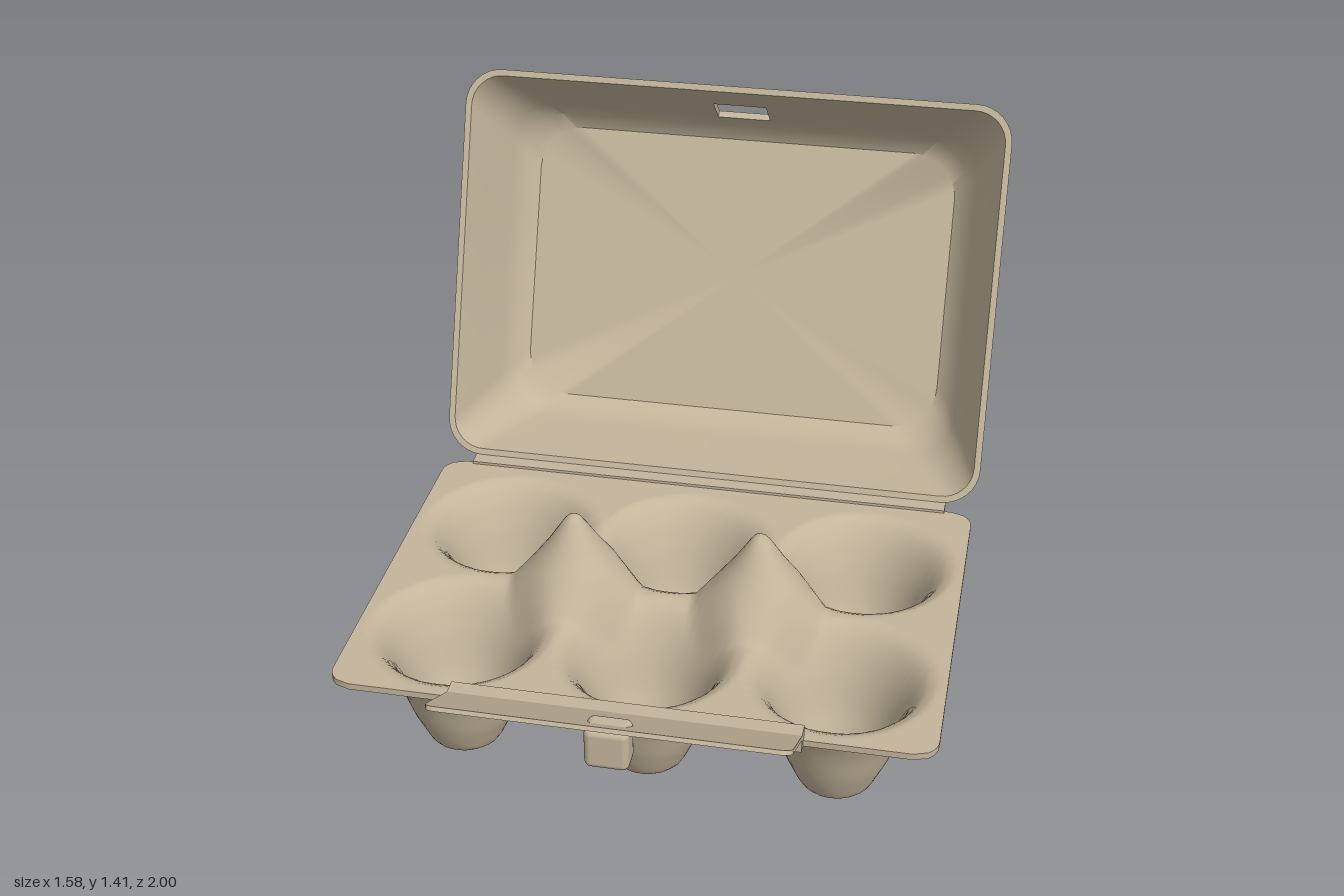
import * as THREE from 'three';
import { toCreasedNormals } from 'three/addons/utils/BufferGeometryUtils.js';
import { RoundedBoxGeometry } from 'three/addons/geometries/RoundedBoxGeometry.js';

const pulp = new THREE.MeshStandardMaterial({ color: 0xc4b59b });
pulp.name = 'moulded pulp';

function geometryFrom(points, index) {
  const g = new THREE.BufferGeometry();
  g.setAttribute('position', new THREE.Float32BufferAttribute(points.flat(), 3));
  g.setIndex(index);
  g.computeVertexNormals();
  return g;
}

function addPart(parent, name, geometry, x = 0, y = 0, z = 0) {
  const mesh = new THREE.Mesh(geometry, pulp);
  mesh.name = name;
  mesh.position.set(x, y, z);
  parent.add(mesh);
  return mesh;
}

// Linear interpolation through a list of [distance, height] pairs
function profile(list, d) {
  for (let i = 1; i < list.length; i++) {
    const [d0, y0] = list[i - 1], [d1, y1] = list[i];
    if (d <= d1) return y0 + (y1 - y0) * (d - d0) / (d1 - d0);
  }
  return list[list.length - 1][1];
}

const cupProfile = [[0, 0], [0.08, 0], [0.1, 0.015], [0.14, 0.105], [0.17, 0.2],
  [0.2, 0.268], [0.23, 0.31], [0.26, 0.327]];
const peakProfile = [[0, 0.232], [0.02, 0.222], [0.075, 0.135], [0.13, 0.06], [0.18, 0]];

// Height of the tray: six cups sunk below the rim and two peaks between them
function trayHeight(x, z, grow) {
  let y = 0.327;
  for (const cx of [-0.505, 0, 0.505])
    for (const cz of [0, 0.51])
      y = Math.min(y, profile(cupProfile, Math.hypot(x - cx, z - cz) + grow));
  return y + profile(peakProfile, Math.hypot(Math.abs(x) - 0.253, z - 0.255));
}

function buildTray(parent) {
  const nx = 124, nz = 88, z0 = -0.3, z1 = 0.79, corner = 0.06;
  const surface = top => {
    const points = [];
    for (let j = 0; j <= nz; j++) {
      // Ends of the sheet narrow to round its corners
      const t = j / nz, z = z0 + (z1 - z0) * t;
      const k = Math.max(0, corner - Math.min(z - z0, z1 - z));
      const half = 0.78 - corner + Math.sqrt(corner * corner - k * k);
      for (let i = 0; i <= nx; i++) {
        const x = half * (2 * i / nx - 1);
        points.push([x, trayHeight(x, z, top ? 0.014 : 0) + (top ? 0.018 : 0), z]);
      }
    }
    const index = [];
    for (let j = 0; j < nz; j++)
      for (let i = 0; i < nx; i++) {
        const a = j * (nx + 1) + i, b = a + 1, c = a + nx + 1, d = c + 1;
        if (top) index.push(a, c, b, b, c, d);
        else index.push(a, b, c, b, d, c);
      }
    return { points, index };
  };
  const upper = surface(true), lower = surface(false);
  addPart(parent, 'trayInside', geometryFrom(upper.points, upper.index));
  addPart(parent, 'trayUnderside', geometryFrom(lower.points, lower.index));

  // Thin wall round the sheet
  const loop = [], at = (i, j) => j * (nx + 1) + i;
  for (let i = 0; i < nx; i++) loop.push(at(i, nz));
  for (let j = nz; j > 0; j--) loop.push(at(nx, j));
  for (let i = nx; i > 0; i--) loop.push(at(i, 0));
  for (let j = 0; j < nz; j++) loop.push(at(0, j));
  const n = loop.length, index = [];
  const points = [...loop.map(k => lower.points[k]), ...loop.map(k => upper.points[k])];
  for (let k = 0; k < n; k++) {
    const m = (k + 1) % n;
    index.push(k, m, n + m, k, n + m, n + k);
  }
  addPart(parent, 'trayEdge', toCreasedNormals(geometryFrom(points, index), 0.7));
}

// Rounded rectangle loop with two extra points on the upper side for the slot
function lidRing([hx, hy, r, z]) {
  const ring = [], steps = 8;
  [[1, 1], [-1, 1], [-1, -1], [1, -1]].forEach(([sx, sy], q) => {
    for (let s = 0; s <= steps; s++) {
      const a = (q + s / steps) * Math.PI / 2;
      ring.push([sx * (hx - r) + r * Math.cos(a), sy * (hy - r) + r * Math.sin(a), z]);
    }
    if (q === 0) {
      const w = Math.min(hx, 0.077);
      ring.push([w, hy, z], [-w, hy, z]);
    }
  });
  return ring;
}

function buildLid(parent) {
  const mix = (a, b, t) => a.map((v, i) => v + (b[i] - v) * t);
  const inOpen = [0.772, 0.55, 0.09, 0], inBend = [0.668, 0.45, 0.13, -0.275];
  const outOpen = [0.79, 0.568, 0.105, 0], outBend = [0.69, 0.468, 0.145, -0.287];
  // Sections from the inner floor, over the lip, to the outer floor
  const rings = [
    [0, 0, 0, -0.308], [0.63, 0.41, 0.13, -0.308], inBend,
    mix(inOpen, inBend, 0.75), mix(inOpen, inBend, 0.37), inOpen,
    outOpen, mix(outOpen, outBend, 0.37), mix(outOpen, outBend, 0.75),
    outBend, [0.64, 0.422, 0.13, -0.326], [0, 0, 0, -0.326],
  ].map(lidRing);
  const n = rings[0].length, slot = 9, index = [];
  const last = rings.length - 2;
  for (let r = 0; r <= last; r++)
    for (let j = 0; j < n; j++) {
      if (j === slot && (r === 3 || r === 7)) continue;
      const a = r * n + j, b = r * n + (j + 1) % n, c = a + n, d = b + n;
      if (r > 0) index.push(a, c, b);
      if (r < last) index.push(b, c, d);
      else continue;
    }
  // Walls of the latch slot
  const inner = [[3, 0], [4, 0], [4, 1], [3, 1]].map(([r, s]) => r * n + slot + s);
  const outer = [[8, 0], [7, 0], [7, 1], [8, 1]].map(([r, s]) => r * n + slot + s);
  for (let k = 0; k < 4; k++) {
    const m = (k + 1) % 4;
    index.push(inner[k], inner[m], outer[m], inner[k], outer[m], outer[k]);
  }
  const lid = addPart(parent, 'lid', toCreasedNormals(geometryFrom(rings.flat(), index), 0.6),
    0, 0.8825, -0.54);
  lid.rotation.x = -0.379;
}

function buildLatch(parent) {
  addPart(parent, 'flapFold', new THREE.BoxGeometry(0.9, 0.05, 0.045), 0, 0.352, 0.792);

  // Tilted flap with rounded outer corners
  const w = 0.45, len = 0.217, r = 0.035;
  const s = new THREE.Shape();
  s.moveTo(-w, 0);
  s.lineTo(w, 0);
  s.lineTo(w, len - r);
  s.quadraticCurveTo(w, len, w - r, len);
  s.lineTo(-w + r, len);
  s.quadraticCurveTo(-w, len, -w, len - r);
  const flap = addPart(parent, 'latchFlap',
    new THREE.ExtrudeGeometry(s, { depth: 0.012, bevelEnabled: false, curveSegments: 5 }),
    0, 0.375, 0.808);
  flap.rotation.x = 1.066;

  addPart(parent, 'latchKnob', new RoundedBoxGeometry(0.112, 0.115, 0.075, 3, 0.018), 0, 0.403, 0.958);
}

export function createModel() {
  const model = new THREE.Group();
  model.name = 'eggCarton';
  buildTray(model);
  addPart(model, 'lidHinge', new THREE.BoxGeometry(1.4, 0.014, 0.05), 0, 0.346, -0.315);
  buildLid(model);
  buildLatch(model);
  return model;
}
